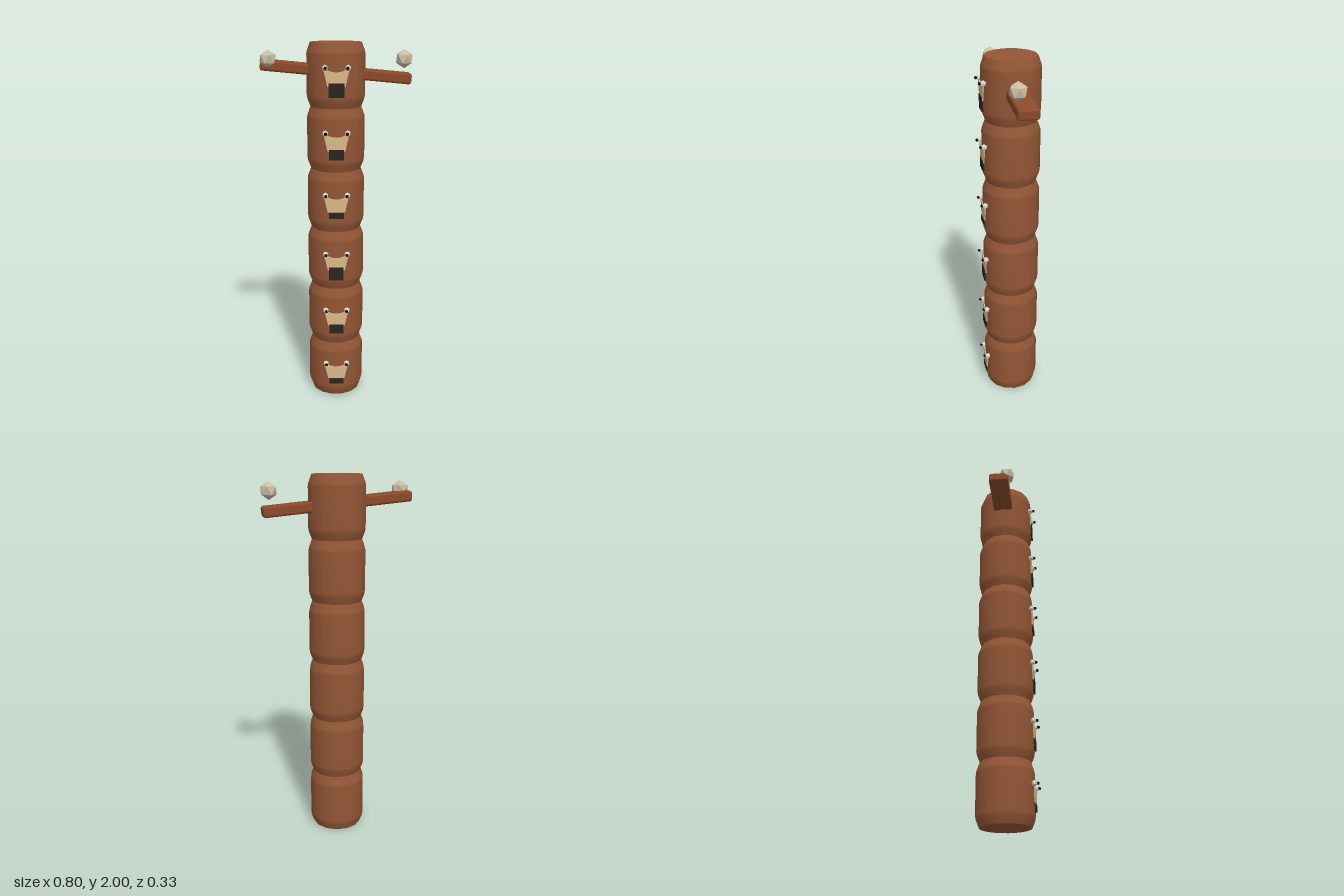
import * as THREE from 'three';
import { RoundedBoxGeometry } from 'three/addons/geometries/RoundedBoxGeometry.js';

const flat = (name, color, extra = {}) => {
  const m = new THREE.MeshStandardMaterial({ color, ...extra });
  m.name = name;
  return m;
};

export function createModel() {
  const wood = flat('wood', 0x935636);
  const armWood = flat('arm wood', 0x8c4b2a);
  const tan = flat('tan', 0xd8b88c);
  const dark = flat('mouth dark', 0x2a2422);
  const black = flat('pupil black', 0x0c0c0e, { flatShading: true });
  const white = flat('eye white', 0xd6d6d4, { flatShading: true });
  const stone = flat('pale stone', 0xc9bea4, { flatShading: true });

  const root = new THREE.Group();
  const add = (parent, name, geo, mat, x = 0, y = 0, z = 0) => {
    const mesh = new THREE.Mesh(geo, mat);
    mesh.name = name;
    mesh.position.set(x, y, z);
    parent.add(mesh);
    return mesh;
  };
  // Icosahedron standing on a corner
  const gem = (r) => new THREE.IcosahedronGeometry(r, 0).rotateZ(-0.5536);

  const SIDES = 14, STEP = 1 / 3, ZC = -0.014, RIM = 0.136;

  // One barrel-shaped log section with narrowed ends
  const profile = [[RIM, 0], [0.151, 0.038], [0.155, 0.06], [0.155, 0.275], [0.152, 0.29], [RIM, STEP]]
    .map(([r, y]) => new THREE.Vector2(r, y));
  const barrel = new THREE.LatheGeometry(profile, SIDES, Math.PI / 2);
  const cap = new THREE.CircleGeometry(RIM, SIDES);

  // Snout plate with a dipped top edge and narrowing sides
  const s = new THREE.Shape();
  s.moveTo(-0.047, 0.118);
  s.lineTo(0.047, 0.118);
  s.lineTo(0.055, 0.155);
  s.lineTo(0.065, 0.195);
  s.lineTo(0.045, 0.2);
  s.quadraticCurveTo(0, 0.178, -0.045, 0.2);
  s.lineTo(-0.065, 0.195);
  s.lineTo(-0.055, 0.155);
  const snout = new THREE.ExtrudeGeometry(s, { depth: 0.007, bevelEnabled: false, curveSegments: 6 });

  const mouthHeights = [0.03, 0.054, 0.074];
  for (let i = 0; i < 6; i++) {
    const section = new THREE.Group();
    section.name = 'totemSection' + (i + 1);
    section.position.y = i * STEP;
    root.add(section);

    add(section, 'log', barrel, wood, 0, 0, ZC);
    if (i === 5) add(section, 'topCap', cap, wood, 0, STEP, ZC).rotation.x = -Math.PI / 2;
    if (i === 0) add(section, 'bottomCap', cap, wood, 0, 0, ZC).rotation.x = Math.PI / 2;

    // Face
    add(section, 'snout', snout, tan, 0, 0, 0.136);
    const h = mouthHeights[i % 3];
    add(section, 'mouth', new THREE.BoxGeometry(0.08, h, 0.009), dark, 0, 0.098, 0.1415);
    for (const side of [-1, 1]) {
      add(section, 'eye', gem(0.017), white, side * 0.059, 0.211, 0.139);
      add(section, 'pupil', gem(0.0095), black, side * 0.057, 0.211, 0.157);
    }
  }

  // Tilted crossbeam forming both arms
  const beam = add(root, 'arms', new RoundedBoxGeometry(0.796, 0.056, 0.11, 1, 0.012), armWood, 0, 1.848, -0.017);
  beam.rotation.z = -0.094;

  // Faceted stones floating above the arm ends
  for (const side of [-1, 1]) add(root, 'stone', gem(0.048), stone, side * 0.355, 1.916, 0.027);

  return root;
}
